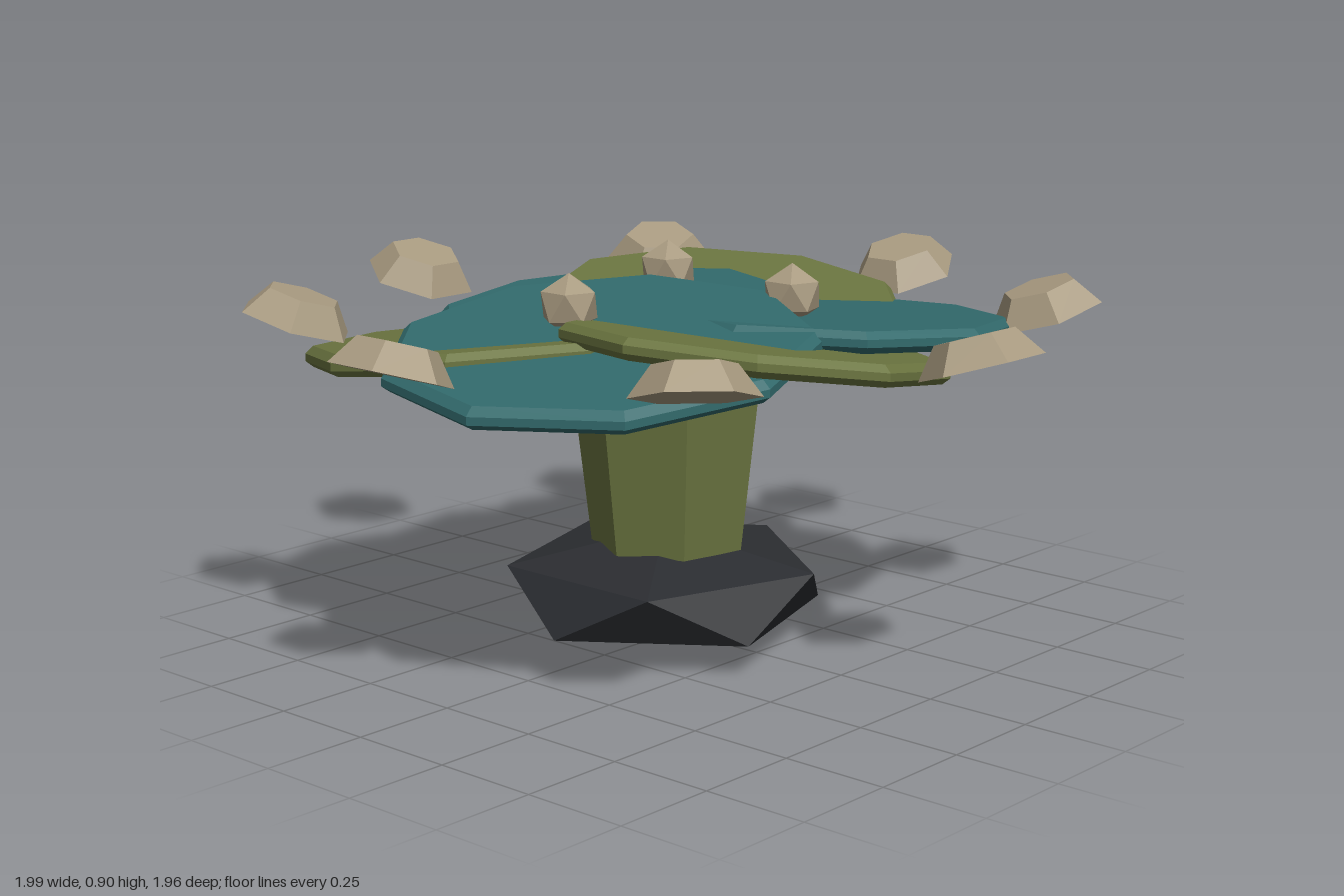
import * as THREE from 'three';

const mat = (color) => new THREE.MeshStandardMaterial({ color, flatShading: true });

function add(group, name, geometry, material, x = 0, y = 0, z = 0) {
  const mesh = new THREE.Mesh(geometry, material);
  mesh.name = name;
  mesh.position.set(x, y, z);
  group.add(mesh);
  return mesh;
}

// Icosahedron standing on one of its points
const pointedIcosahedron = (r) =>
  new THREE.IcosahedronGeometry(r).rotateZ(-Math.atan(2 / (1 + Math.sqrt(5))));

// Bevelled nine-sided plate, slanted by a slope along x and z
function plateGeometry(r, angle, slopeX, slopeZ) {
  const profile = [[0, -0.05], [r * 0.96, -0.05], [r, -0.035], [r, -0.017], [r * 0.96, 0], [0, 0]]
    .map(([x, y]) => new THREE.Vector2(x, y));
  const start = THREE.MathUtils.degToRad(90 - angle);
  const geo = new THREE.LatheGeometry(profile, 9, start);
  const p = geo.attributes.position;
  for (let i = 0; i < p.count; i++) {
    p.setY(i, p.getY(i) + slopeX * p.getX(i) + slopeZ * p.getZ(i));
  }
  geo.computeVertexNormals();
  return geo;
}

export function createModel() {
  const model = new THREE.Group();
  model.name = 'platePlant';
  const olive = mat(0x6b7540);
  const teal = mat(0x326a6c);
  const stone = mat(0xa89a80);
  const dark = mat(0x2b2d31);

  // Faceted base rock
  const base = pointedIcosahedron(0.42).scale(1, 0.134 / 0.42, 1);
  add(model, 'baseRock', base, dark, -0.04, 0.135, 0);

  // Seven-sided stem that widens upwards
  const stem = new THREE.CylinderGeometry(0.245, 0.187, 0.5, 7).rotateY(-Math.PI / 2);
  add(model, 'stem', stem, olive, -0.02, 0.48, 0);

  // Overlapping plates: x, top y, z, radius, angle of first corner, slopes, material
  const plates = [
    [-0.29, 0.73, -0.28, 0.46, -90, -0.03, 0.12, olive],
    [-0.36, 0.777, 0.1, 0.49, -109, 0.13, -0.05, teal],
    [-0.1, 0.765, 0.32, 0.435, 99, -0.16, 0, olive],
    [0.26, 0.77, 0.24, 0.435, 90, -0.08, 0.03, teal],
    [0.33, 0.76, -0.13, 0.45, -14, 0.05, -0.1, olive],
    [0.03, 0.768, -0.23, 0.43, -78, 0.07, 0.03, teal],
  ];
  for (const [x, y, z, r, angle, sx, sz, material] of plates) {
    add(model, 'plate', plateGeometry(r, angle, sx, sz), material, x, y, z);
  }

  // Small nubs on top of the plates
  for (const [x, z] of [[-0.31, -0.045], [0.2, -0.205], [0.13, 0.24]]) {
    add(model, 'nub', pointedIcosahedron(0.072), stone, x, 0.828, z);
  }

  // Ring of eight floating stones, tipped up at their outer edge
  const stoneGeo = new THREE.CylinderGeometry(0.088, 0.138, 0.068, 6)
    .rotateY(Math.PI / 2)
    .translate(0, 0.034, 0)
    .rotateX(-THREE.MathUtils.degToRad(18));
  for (let i = 0; i < 8; i++) {
    const a = (i * Math.PI) / 4;
    const mesh = add(model, 'ringStone', stoneGeo, stone,
      Math.sin(a) * 0.882 - 0.005, 0.762, Math.cos(a) * 0.865);
    mesh.rotation.y = a;
  }

  return model;
}
